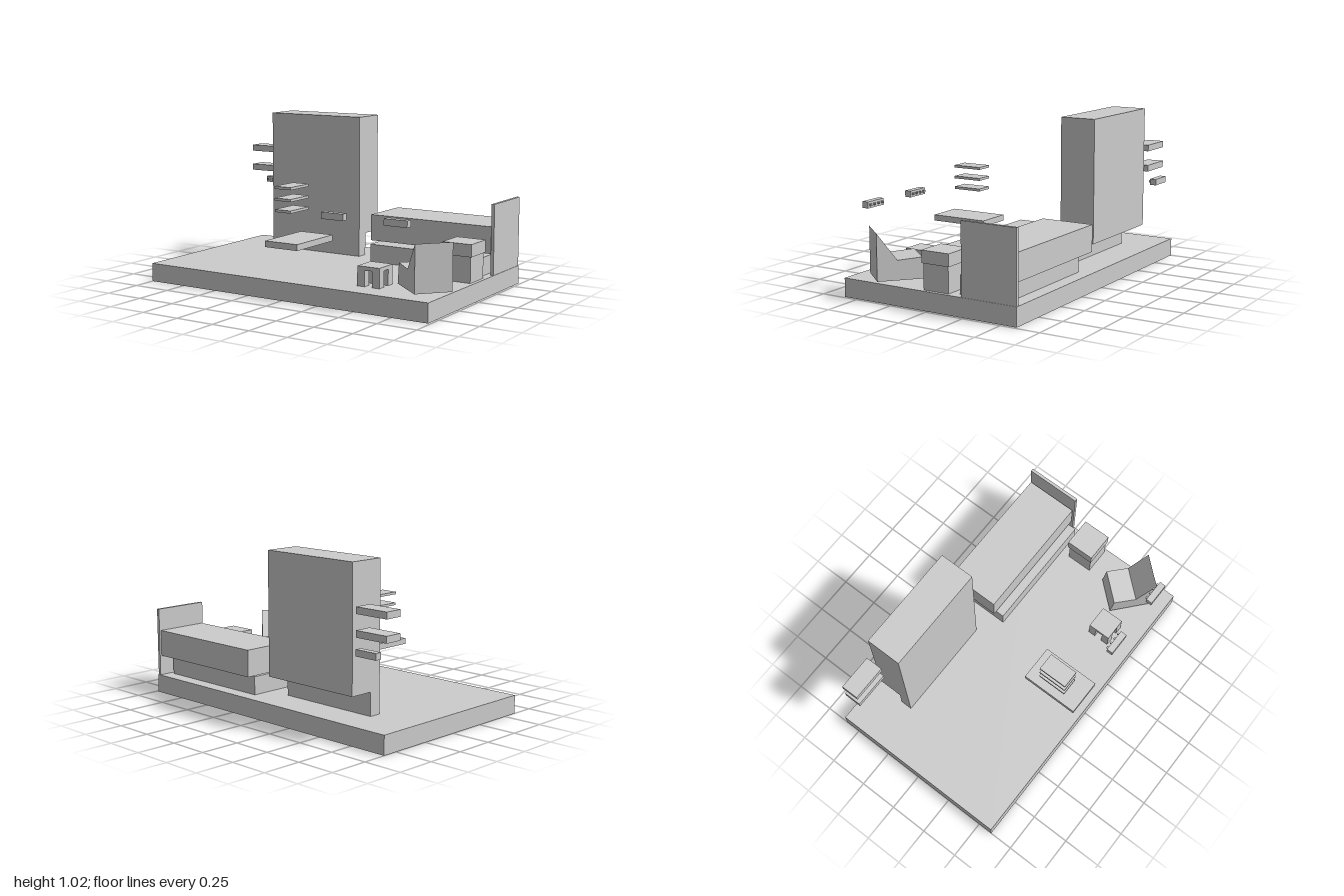
import * as THREE from 'three';

const material = new THREE.MeshStandardMaterial({ color: 0xcccccc, flatShading: true });

// Box given by its extents along each axis
function box(name, [x0, x1], [y0, y1], [z0, z1]) {
  const mesh = new THREE.Mesh(new THREE.BoxGeometry(x1 - x0, y1 - y0, z1 - z0), material);
  mesh.position.set((x0 + x1) / 2, (y0 + y1) / 2, (z0 + z1) / 2);
  mesh.name = name;
  return mesh;
}

function group(name, ...parts) {
  const g = new THREE.Group();
  g.name = name;
  g.add(...parts);
  return g;
}

// Wall rack with four pegs; its back plate is at z = 0 and pegs point to +z
function pegRack(x, z, angle) {
  const rack = group('pegRack', box('rackBoard', [-0.075, 0.075], [-0.02, 0.02], [-0.021, 0.021]));
  for (let i = 0; i < 4; i++) {
    const px = (i - 1.5) * 0.0375;
    rack.add(box('peg', [px - 0.006, px + 0.006], [-0.007, 0.007], [0.021, 0.033]));
  }
  rack.position.set(x, 0.534, z);
  rack.rotation.y = angle;
  return rack;
}

// Wedge armchair: side profile extruded across its width
function armchair() {
  const profile = new THREE.Shape([
    [0, 0.13], [0.288, 0.13], [0.288, 0.416], [0.167, 0.25], [0.02, 0.26],
  ].map(([x, y]) => new THREE.Vector2(x, y)));
  const geometry = new THREE.ExtrudeGeometry(profile, { depth: 0.228, bevelEnabled: false });
  geometry.translate(0, 0, -0.114);
  const chair = new THREE.Mesh(geometry, material);
  chair.name = 'armchair';
  chair.position.set(0.71, 0, 0.236);
  chair.rotation.y = -0.72;
  return chair;
}

// Small stool with four square legs
function stool() {
  const g = group('stool', box('stoolTop', [0.435, 0.585], [0.213, 0.236], [0.296, 0.446]));
  for (const x of [0.435, 0.535])
    for (const z of [0.296, 0.396])
      g.add(box('stoolLeg', [x, x + 0.05], [0.116, 0.213], [z, z + 0.05]));
  return g;
}

export function createModel() {
  const room = group('bedroom',
    box('floor', [-1, 0.985], [0, 0.116], [-0.597, 0.597]),
    // Wardrobe on a shallow front plinth
    group('wardrobe',
      box('wardrobeBody', [-0.695, -0.01], [0.26, 1.025], [-0.528, -0.299]),
      box('wardrobePlinth', [-0.695, -0.01], [0.116, 0.26], [-0.375, -0.299])),
    // Bed with drawer and headboard
    group('bed',
      box('mattress', [0.113, 0.955], [0.245, 0.412], [-0.587, -0.244]),
      box('bedDrawer', [0.14, 0.932], [0.116, 0.23], [-0.51, -0.192]),
      box('headboard', [0.962, 0.982], [0.116, 0.552], [-0.594, -0.233])),
    group('nightstand',
      box('nightstandBody', [0.79, 0.962], [0.116, 0.274], [-0.133, 0.038]),
      box('nightstandTop', [0.78, 0.97], [0.274, 0.35], [-0.142, 0.046])),
    box('deskTop', [-0.13, 0.102], [0.308, 0.346], [0.196, 0.577]),
    stool(),
    armchair(),
    pegRack(-0.845, -0.56, 0),
    pegRack(0.34, 0.551, Math.PI),
    pegRack(0.76, 0.551, Math.PI));

  // Shelves beside the wardrobe
  for (const y of [0.608, 0.741])
    room.add(box('wallShelf', [-0.96, -0.732], [y, y + 0.041], [-0.54, -0.428]));
  // Shelves above the desk
  for (const y of [0.508, 0.577, 0.648])
    room.add(box('deskShelf', [-0.12, -0.005], [y, y + 0.016], [0.297, 0.488]));

  return room;
}
